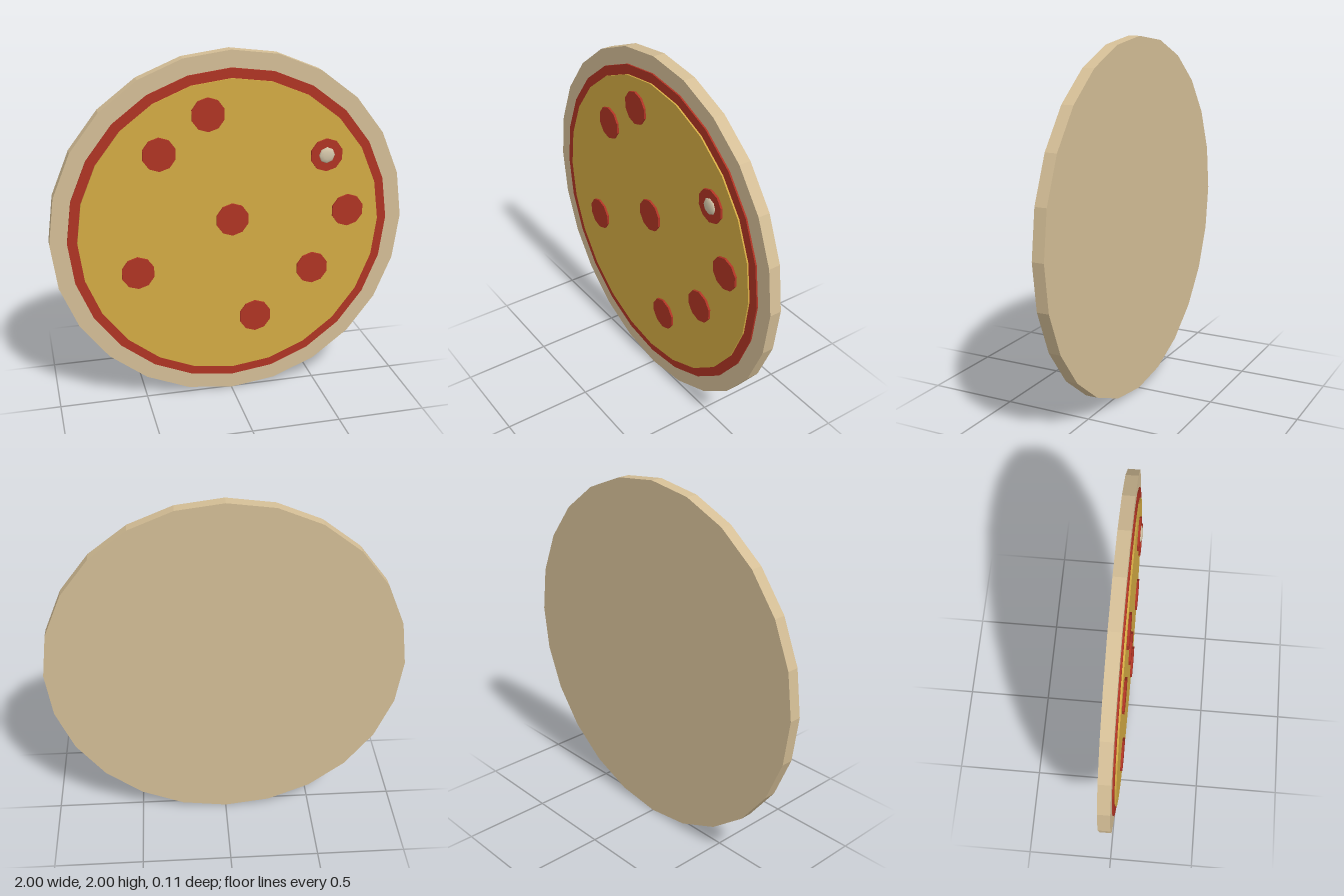
import * as THREE from 'three';

const material = (name, color, flatShading = true) => {
  const m = new THREE.MeshStandardMaterial({ color, flatShading });
  m.name = name;
  return m;
};

// Faceted disc facing +z, between two depths
function disc(name, radius, back, front, sides, mat, x = 0, y = 1) {
  const geometry = new THREE.CylinderGeometry(radius, radius, front - back, sides);
  geometry.rotateX(Math.PI / 2);
  const mesh = new THREE.Mesh(geometry, mat);
  mesh.name = name;
  mesh.position.set(x, y, (front + back) / 2);
  return mesh;
}

export function createModel() {
  const crust = material('crust tan', 0xd4be96);
  const red = material('tomato red', 0xaf3424);
  const cheese = material('cheese yellow', 0xd3aa43);
  const pale = material('mushroom beige', 0xd3c5a8, false);

  const pizza = new THREE.Group();
  pizza.name = 'pizza';

  // Stacked base layers
  pizza.add(
    disc('crust', 1, -0.055, 0.012, 24, crust),
    disc('sauce', 0.907, 0, 0.021, 24, red),
    disc('cheese', 0.853, 0.01, 0.03, 24, cheese),
  );

  // Sausage slices
  const slices = [
    [0, 1.067], [0.667, 1.067], [-0.133, 1.667], [-0.4, 1.467],
    [0.533, 1.4], [-0.533, 0.8], [0.467, 0.733], [0.133, 0.467],
  ];
  slices.forEach(([x, y], i) =>
    pizza.add(disc(`sausageSlice${i + 1}`, 0.093, 0.02, 0.042, 10, red, x, y)));

  // Squashed mushroom cap on one slice
  const cap = new THREE.SphereGeometry(0.046, 8, 6);
  cap.rotateX(Math.PI / 2);
  cap.scale(1, 1, 0.3);
  const mushroom = new THREE.Mesh(cap, pale);
  mushroom.name = 'mushroom';
  mushroom.position.set(0.533, 1.4, 0.042);
  pizza.add(mushroom);

  return pizza;
}
